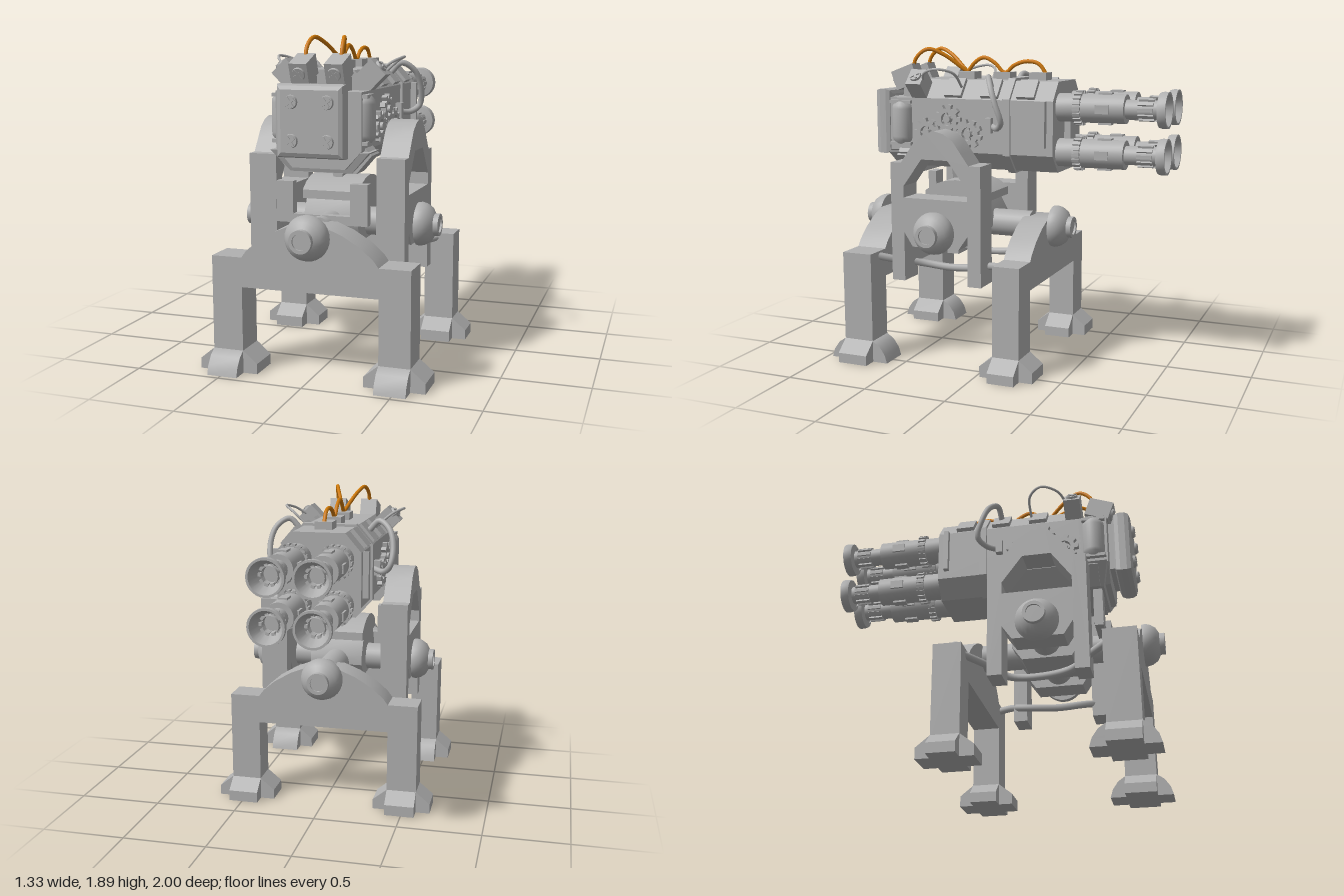
import * as THREE from 'three';
import { toCreasedNormals } from 'three/addons/utils/BufferGeometryUtils.js';

const steel = new THREE.MeshStandardMaterial({ color: 0xb0b0b0 });
steel.name = 'steel grey';
const copper = new THREE.MeshStandardMaterial({ color: 0xd07a08 });
copper.name = 'orange wire';

const v2 = (p) => p.map(([x, y]) => new THREE.Vector2(x, y));
const v3 = (p) => p.map(([x, y, z]) => new THREE.Vector3(x, y, z));
const shapeOf = (p) => new THREE.Shape(v2(p));
const mirrored = (half) => [...half, ...half.slice().reverse().map(([x, y]) => [-x, y])];

function add(parent, name, geo, x = 0, y = 0, z = 0, mat = steel) {
  const m = new THREE.Mesh(geo, mat);
  m.name = name;
  m.position.set(x, y, z);
  parent.add(m);
  return m;
}
const box = (w, h, d) => new THREE.BoxGeometry(w, h, d);
// Extrude an (x, y) outline from z0 to z1
function alongZ(shape, z0, z1) {
  const g = new THREE.ExtrudeGeometry(shape, { depth: z1 - z0, bevelEnabled: false, curveSegments: 16 });
  return toCreasedNormals(g.translate(0, 0, z0), 0.6);
}
// Extrude a (z, y) outline from x0 to x1
function alongX(shape, x0, x1) {
  const g = new THREE.ExtrudeGeometry(shape, { depth: x1 - x0, bevelEnabled: false, curveSegments: 16 });
  return toCreasedNormals(g.rotateY(-Math.PI / 2).translate(x1, 0, 0), 0.6);
}
const lathe = (p, n = 28) => toCreasedNormals(new THREE.LatheGeometry(v2(p), n), 0.6);
const tube = (p, r, n = 40) => new THREE.TubeGeometry(new THREE.CatmullRomCurve3(v3(p)), n, r, 8);

// Cross-head screw facing local +z
function screw(parent, x, y, z, r = 0.04) {
  const g = new THREE.Group();
  g.name = 'screw';
  g.position.set(x, y, z);
  add(g, 'screwHead', new THREE.CylinderGeometry(r * 0.9, r, 0.02, 20).rotateX(Math.PI / 2));
  for (const a of [0.6, 0.6 + Math.PI / 2]) add(g, 'screwCross', box(r * 1.5, r * 0.35, 0.01), 0, 0, 0.012).rotation.z = a;
  parent.add(g);
  return g;
}

// Domed end cap of an axle, pointing along local +y
const capGeo = lathe([[0, 0], [0.125, 0], [0.128, 0.02], [0.12, 0.05], [0.1, 0.08], [0.065, 0.1],
  [0.065, 0.13], [0.045, 0.13], [0.045, 0.118], [0, 0.118]]);

// Octagonal gun section, grown outwards by g
const octagon = (g = 0) => shapeOf(mirrored([[0.155 + g / 2, 1.165 - g], [0.25 + g, 1.27 - g / 2],
  [0.25 + g, 1.59 + g / 2], [0.155 + g / 2, 1.70 + g]]));

function gearGeo() {
  const pts = [], n = 9;
  for (let i = 0; i < n; i++)
    for (const [o, r] of [[-0.3, 0.065], [-0.2, 0.088], [0.2, 0.088], [0.3, 0.065]]) {
      const a = ((i + o) / n) * Math.PI * 2;
      pts.push([r * Math.cos(a), r * Math.sin(a)]);
    }
  const s = shapeOf(pts);
  s.holes.push(new THREE.Path().absarc(0, 0, 0.04, 0, Math.PI * 2, true));
  return alongX(s, -0.015, 0.015);
}

function legFrame(root, z0, z1, footHalf, rounded) {
  const zc = (z0 + z1) / 2, hz = (z1 - z0) / 2;
  // Arched cross frame with two legs
  const frame = shapeOf(mirrored([[0.4, 0.1], [0.58, 0.1], [0.58, 0.67], [0.4, 0.67], [0.37, 0.71],
    [0.3, 0.77], [0.2, 0.83], [0.1, 0.87]]).concat([[-0.4, 0.5], [0.4, 0.5]]));
  add(root, 'legFrame', alongZ(frame, z0, z1));
  // Plus-shaped feet
  for (const s of [-1, 1]) {
    const side = shapeOf(mirrored([[0.175, 0], [0.175, 0.06], [0.09, 0.13]]));
    add(root, 'footSideToes', alongZ(side, z0, z1), s * 0.49);
    const toe = rounded
      ? [[footHalf, 0], [footHalf - 0.015, 0.05], [footHalf - 0.05, 0.1], [hz, 0.13]]
      : [[footHalf, 0], [footHalf, 0.065], [hz, 0.13]];
    add(root, 'footFrontToes', alongX(shapeOf(mirrored(toe)), -0.09, 0.09), s * 0.49, 0, zc);
  }
}

function barrel(root, x, y) {
  const g = new THREE.Group();
  g.name = 'barrel';
  g.position.set(x, y, 0);
  // Stepped tube with a flared hollow muzzle
  add(g, 'barrelTube', lathe([[0, 0.33], [0.083, 0.33], [0.083, 0.455], [0.093, 0.455], [0.093, 0.495],
    [0.085, 0.495], [0.085, 0.755], [0.055, 0.755], [0.055, 0.945], [0.1, 0.95], [0.105, 0.97], [0.105, 1],
    [0.092, 1], [0.045, 0.87], [0, 0.87]]).rotateX(-Math.PI / 2));
  const around = (name, n, geo, r, z) => {
    for (let i = 0; i < n; i++) {
      const a = (i / n) * Math.PI * 2;
      add(g, name, geo, r * Math.cos(a), r * Math.sin(a), z).rotation.z = a;
    }
  };
  around('collarTooth', 18, box(0.016, 0.018, 0.045), 0.094, -0.477);
  around('barrelPad', 4, box(0.02, 0.05, 0.08), 0.083, -0.63);
  around('neckRib', 10, box(0.02, 0.02, 0.09), 0.056, -0.875);
  root.add(g);
}

export function createModel() {
  const root = new THREE.Group();
  root.name = 'turret';
  legFrame(root, 0.685, 0.875, 0.19, true);
  legFrame(root, -0.27, -0.105, 0.165, false);

  // Axles and domed caps
  add(root, 'longAxle', new THREE.CylinderGeometry(0.083, 0.083, 0.85, 28).rotateX(Math.PI / 2), 0, 0.81, 0.29);
  add(root, 'crossAxle', new THREE.CylinderGeometry(0.083, 0.083, 0.7, 28).rotateZ(Math.PI / 2), 0, 0.81, 0.31);
  add(root, 'frontCap', capGeo, 0, 0.81, 0.87).rotation.x = Math.PI / 2;
  add(root, 'backCap', capGeo, 0, 0.81, -0.27).rotation.x = -Math.PI / 2;

  // Central hub, rocker and neck
  const hub = [[0.16, 0.715], [0.46, 0.715], [0.515, 0.8], [0.515, 0.86], [0.46, 0.97], [0.16, 0.97], [0.1, 0.86], [0.1, 0.8]];
  add(root, 'hub', alongX(shapeOf(hub), -0.165, 0.165));
  const rocker = [[0.1, 0.96], [0.52, 0.96], [0.52, 1.01], [0.46, 1.05], [0.39, 1.075], [0.31, 1.085], [0.23, 1.075], [0.16, 1.05], [0.1, 1.01]];
  add(root, 'rocker', alongX(shapeOf(rocker), -0.17, 0.17));
  add(root, 'neck', alongZ(shapeOf(mirrored([[0.025, 1.07], [0.055, 1.18]])), 0.225, 0.395));

  // Side towers with trapezoid window
  const tower = shapeOf([[0.6, 0.5], [0.6, 1.22], [0.53, 1.22], [0.48, 1.29], [0.43, 1.36], [0.37, 1.4], [0.31, 1.415],
    [0.25, 1.4], [0.19, 1.36], [0.14, 1.29], [0.09, 1.22], [0.015, 1.22], [0.015, 0.5], [0.1, 0.5],
    [0.1, 0.8], [0.16, 0.715], [0.46, 0.715], [0.515, 0.8], [0.515, 0.5]]);
  tower.holes.push(new THREE.Path(v2([[0.1, 1.01], [0.515, 1.01], [0.515, 1.08], [0.395, 1.245], [0.225, 1.245], [0.1, 1.08]])));
  add(root, 'crossbarBehindHub', box(0.54, 0.05, 0.05), 0, 0.87, 0.64);

  // Gun body
  add(root, 'gunBody', alongZ(octagon(), -0.35, 0.55));
  add(root, 'bodyBand', alongZ(octagon(0.015), -0.085, -0.04));
  add(root, 'bodyRear', alongZ(shapeOf(mirrored([[0.155, 1.165], [0.25, 1.27], [0.25, 1.59]])), 0.54, 0.71));
  add(root, 'plateMount', box(0.3, 0.32, 0.06), 0, 1.43, 0.73);
  add(root, 'barrelSpacer', box(0.09, 0.2, 0.05), 0, 1.43, -0.365);
  // Chin under the plate
  add(root, 'chin', alongZ(shapeOf(mirrored([[0.2, 1.135], [0.29, 1.24], [0.25, 1.28]])), 0.51, 0.65));
  const nose = new THREE.CylinderGeometry(0.29 * Math.SQRT2, 0.18 * Math.SQRT2, 0.12, 4).rotateY(Math.PI / 4).toNonIndexed();
  nose.scale(1, 1, 0.33).computeVertexNormals();
  add(root, 'chinNose', nose, 0, 1.2, 0.61);

  // Bevelled end plate with four screws
  const plate = new THREE.ExtrudeGeometry(shapeOf(mirrored([[0.165, 1.265], [0.165, 1.605]])),
    { depth: 0.04, bevelEnabled: true, bevelSize: 0.03, bevelThickness: 0.035, bevelSegments: 2 });
  add(root, 'endPlate', plate, 0, 0, 0.775);
  for (const x of [-0.103, 0.103]) for (const y of [1.33, 1.54]) screw(root, x, y, 0.855);

  // Saddles along the ridge that hold the wire
  for (const z of [0.285, 0.05, -0.18]) add(root, 'ridgeBlock', box(0.105, 0.1, 0.11), 0, 1.695, z);

  const gear = gearGeo();
  const canister = lathe([[0, -0.13], [0.045, -0.13], [0.065, -0.105], [0.068, -0.085], [0.068, 0.085], [0.065, 0.105], [0.045, 0.13], [0, 0.13]]);
  for (const s of [-1, 1]) {
    add(root, 'sideTower', alongX(tower, 0.3, 0.465), s < 0 ? -0.765 : 0);
    add(root, 'sideCap', capGeo, s * 0.465, 0.81, 0.31).rotation.z = -s * Math.PI / 2;
    add(root, 'hubPost', box(0.1, 0.22, 0.055), s * 0.22, 0.97, 0.64);
    for (const y of [1.285, 1.55]) barrel(root, s * 0.125, y);

    // Saddle pads on the sloped shoulders
    for (const z of [0.285, 0.05, -0.18]) add(root, 'shoulderPad', box(0.13, 0.03, 0.11), s * 0.208, 1.652, z).rotation.z = -s * 0.86;
    add(root, 'sideRib', box(0.04, 0.27, 0.03), s * 0.265, 1.455, -0.295);

    // Canister and its clamps
    add(root, 'canister', canister, s * 0.235, 1.438, 0.628);
    for (const y of [1.31, 1.565]) add(root, 'canisterClamp', box(0.05, 0.02, 0.14), s * 0.255, y, 0.63);

    // Gear train
    for (const [z, y, a] of [[0.45, 1.385, 0], [0.31, 1.47, 0.35], [0.175, 1.385, 0.1]]) {
      add(root, 'gear', gear, s * 0.27, y, z).rotation.x = a;
      add(root, 'gearHub', new THREE.CylinderGeometry(0.022, 0.022, 0.06, 12).rotateZ(Math.PI / 2), s * 0.265, y, z);
      for (const t of [0, Math.PI / 2]) add(root, 'gearSpoke', box(0.015, 0.09, 0.012), s * 0.265, y, z).rotation.x = a + t;
    }

    // Tilted junction boxes above the plate
    const junction = new THREE.Group();
    junction.name = 'junctionBox';
    junction.position.set(s * 0.103, 1.71, 0.66);
    junction.rotation.x = 0.36;
    add(junction, 'junctionCase', box(0.105, 0.12, 0.155));
    screw(junction, 0, 0, 0.08);
    root.add(junction);
    add(root, 'junctionFoot', box(0.09, 0.09, 0.1), s * 0.103, 1.62, 0.62);

    // Outward-leaning shoulder boxes
    const shoulder = new THREE.Group();
    shoulder.name = 'shoulderBox';
    shoulder.position.set(s * 0.235, 1.66, 0.51);
    shoulder.rotation.z = -s * Math.PI / 4;
    add(shoulder, 'shoulderCase', box(0.12, 0.17, 0.1));
    screw(shoulder, 0, 0.088, 0, 0.038).rotation.x = -Math.PI / 2;
    root.add(shoulder);

    // Hoses and cables
    add(root, 'thinCable', tube([[s * 0.28, 1.7, 0.47], [s * 0.34, 1.745, 0.43], [s * 0.38, 1.77, 0.33], [s * 0.32, 1.745, 0.25], [s * 0.22, 1.66, 0.24]], 0.008));
    add(root, 'sideHose', tube([[s * 0.22, 1.67, 0.05], [s * 0.28, 1.725, 0.04], [s * 0.35, 1.68, 0.0], [s * 0.38, 1.58, -0.04],
      [s * 0.365, 1.47, -0.07], [s * 0.32, 1.43, -0.03], [s * 0.25, 1.435, 0.03]], 0.018));
    add(root, 'hoseSocket', box(0.05, 0.09, 0.04), s * 0.265, 1.44, 0.045);
    add(root, 'lowerHose', tube([[s * 0.47, 0.64, 0.7], [s * 0.4, 0.61, 0.6], [s * 0.29, 0.575, 0.48], [s * 0.26, 0.555, 0.3],
      [s * 0.26, 0.57, 0.1], [s * 0.35, 0.61, 0.0], [s * 0.47, 0.64, -0.12]], 0.023));

    // Orange feed from each junction box to the ridge
    add(root, 'feedWire', tube([[s * 0.105, 1.76, 0.625], [s * 0.104, 1.83, 0.6], [s * 0.09, 1.88, 0.53], [s * 0.06, 1.85, 0.44], [0, 1.74, 0.3]], 0.012), 0, 0, 0, copper);
  }

  // Orange wire hopping along the ridge
  add(root, 'ridgeWire', tube([[0, 1.74, 0.3], [0, 1.8, 0.25], [0, 1.83, 0.19], [0, 1.8, 0.12], [0, 1.74, 0.05],
    [0, 1.785, -0.01], [0, 1.81, -0.09], [0, 1.795, -0.17], [0, 1.73, -0.22]], 0.012, 60), 0, 0, 0, copper);
  return root;
}
